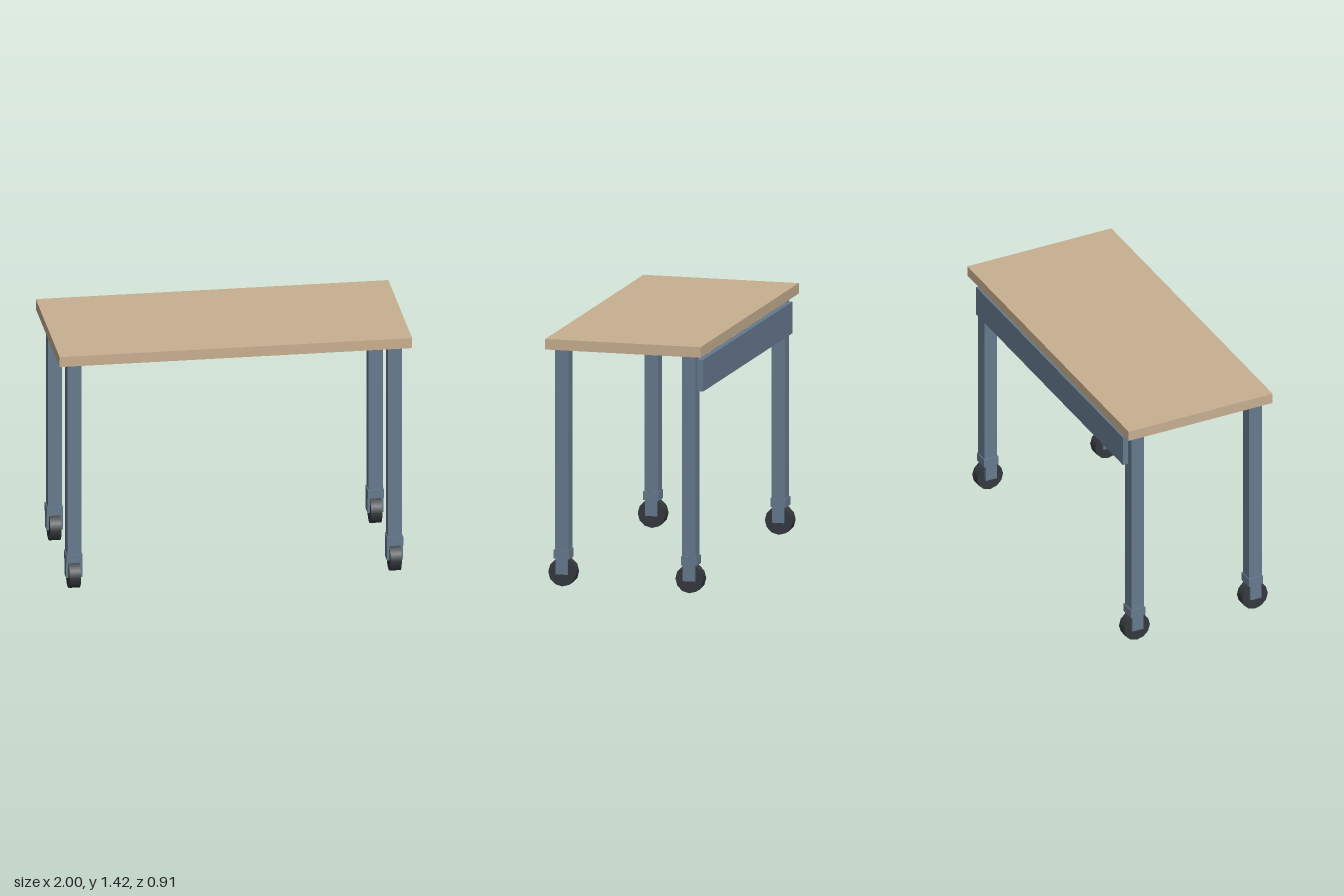
import * as THREE from 'three';

const material = (name, color) => {
  const m = new THREE.MeshStandardMaterial({ color });
  m.name = name;
  return m;
};

export function createModel() {
  const wood = material('wood', 0xc8b091);
  const steel = material('blue grey steel', 0x667a8e);
  const rubber = material('dark rubber', 0x34393e);

  const table = new THREE.Group();
  table.name = 'rollingTable';

  // Box given by its lower and upper corners
  const box = (parent, name, mat, [x0, y0, z0], [x1, y1, z1]) => {
    const mesh = new THREE.Mesh(new THREE.BoxGeometry(x1 - x0, y1 - y0, z1 - z0), mat);
    mesh.position.set((x0 + x1) / 2, (y0 + y1) / 2, (z0 + z1) / 2);
    mesh.name = name;
    parent.add(mesh);
  };

  // Top board and the rail across the back legs
  box(table, 'tabletop', wood, [-1, 1.36, -0.453], [1, 1.42, 0.453]);
  box(table, 'backRail', steel, [-0.91, 1.15, -0.443], [0.91, 1.33, -0.41]);

  const wheelGeometry = new THREE.CylinderGeometry(0.081, 0.081, 0.064, 12).rotateZ(Math.PI / 2);

  // Four legs, each on a fork caster
  for (const x of [-0.91, 0.91]) {
    for (const z of [-0.371, 0.371]) {
      const leg = new THREE.Group();
      leg.name = (z > 0 ? 'front' : 'back') + (x > 0 ? 'Left' : 'Right') + 'Leg';
      leg.position.set(x, 0, z);
      box(leg, 'post', steel, [-0.04, 0.2, -0.04], [0.04, 1.36, 0.04]);
      box(leg, 'casterCollar', steel, [-0.046, 0.16, -0.045], [0.046, 0.21, 0.045]);
      box(leg, 'forkCheekRight', steel, [-0.046, 0.07, -0.035], [-0.032, 0.16, 0.035]);
      box(leg, 'forkCheekLeft', steel, [0.032, 0.07, -0.035], [0.046, 0.16, 0.035]);
      const wheel = new THREE.Mesh(wheelGeometry, rubber);
      wheel.name = 'wheel';
      wheel.position.y = 0.081;
      leg.add(wheel);
      table.add(leg);
    }
  }
  return table;
}
